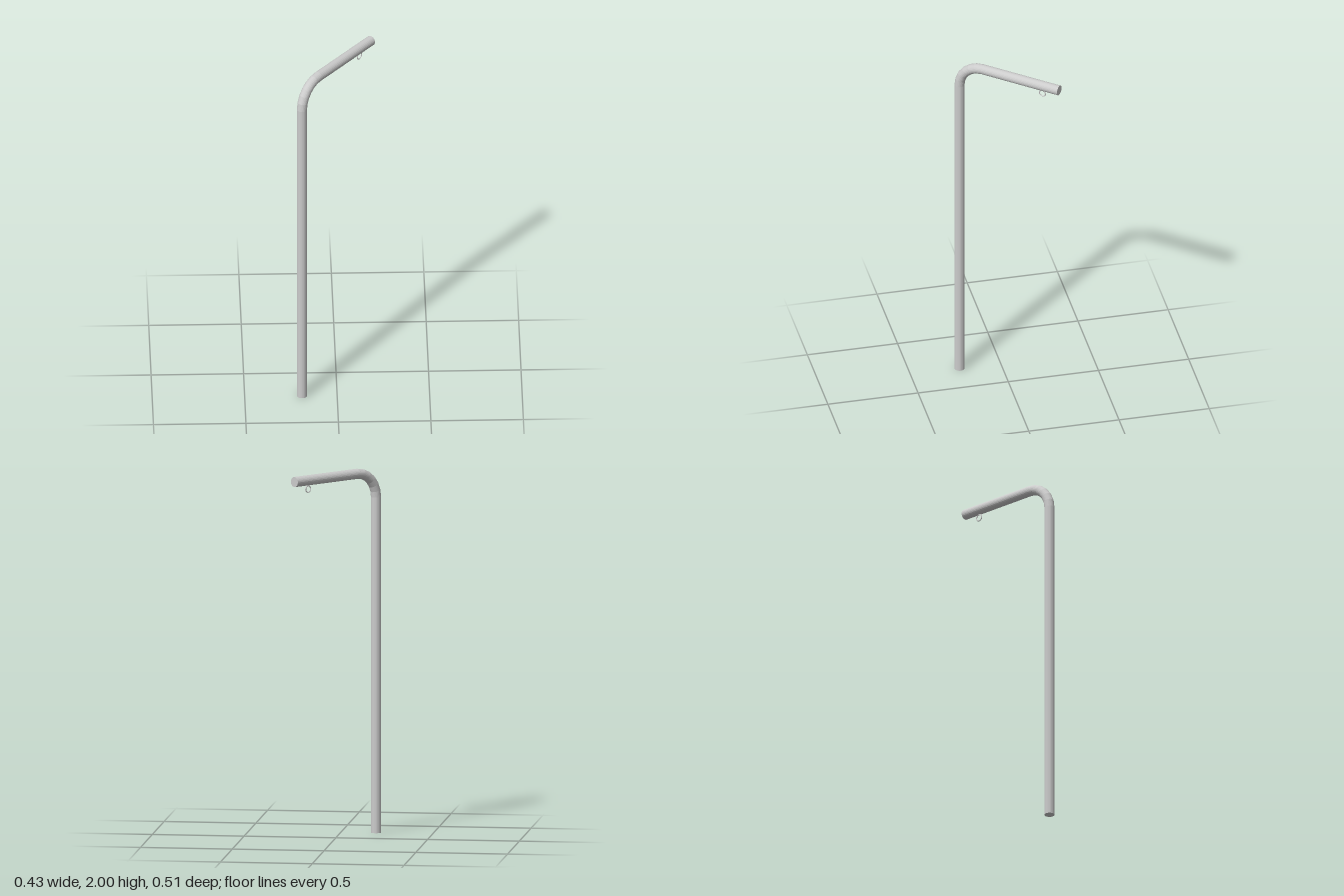
import * as THREE from 'three';

export function createModel() {
  const model = new THREE.Group();
  model.name = 'bentPole';
  const material = new THREE.MeshStandardMaterial({ color: 0xcccccc, flatShading: true });

  const radius = 0.0277, armY = 2 - radius, bend = 0.14, reach = 0.604, steps = 6;

  // Stations along the pipe: foot, quarter bend, arm tip (arm runs along local +x)
  const stations = [{ x: 0, y: 0, t: 0 }];
  for (let i = 0; i <= steps; i++) {
    const t = (i / steps) * Math.PI / 2;
    stations.push({ x: bend * (1 - Math.cos(t)), y: armY - bend + bend * Math.sin(t), t });
  }
  stations.push({ x: reach, y: armY, t: Math.PI / 2 });

  // Capped cylinder whose rings are moved onto the stations
  const rows = stations.length - 1;
  const pipe = new THREE.CylinderGeometry(radius, radius, 1, 24, rows);
  const pos = pipe.attributes.position;
  for (let i = 0; i < pos.count; i++) {
    const s = stations[Math.round((pos.getY(i) + 0.5) * rows)];
    const d = pos.getX(i);
    pos.setXY(i, s.x + d * Math.cos(s.t), s.y - d * Math.sin(s.t));
  }
  pipe.computeVertexNormals();
  const pole = new THREE.Mesh(pipe, material);
  pole.name = 'poleWithArm';

  // Small hanging ring under the arm, in the plane of the bend
  const ring = new THREE.Mesh(new THREE.TorusGeometry(0.018, 0.003, 8, 24), material);
  ring.name = 'hangingRing';
  ring.position.set(0.502, armY - radius - 0.02, 0);

  model.add(pole, ring);

  // Turn the arm diagonally towards the back left
  model.rotation.y = 0.879;
  model.position.set(-0.19, 0, 0.227);
  const root = new THREE.Group();
  root.name = 'hookPole';
  root.add(model);
  return root;
}
